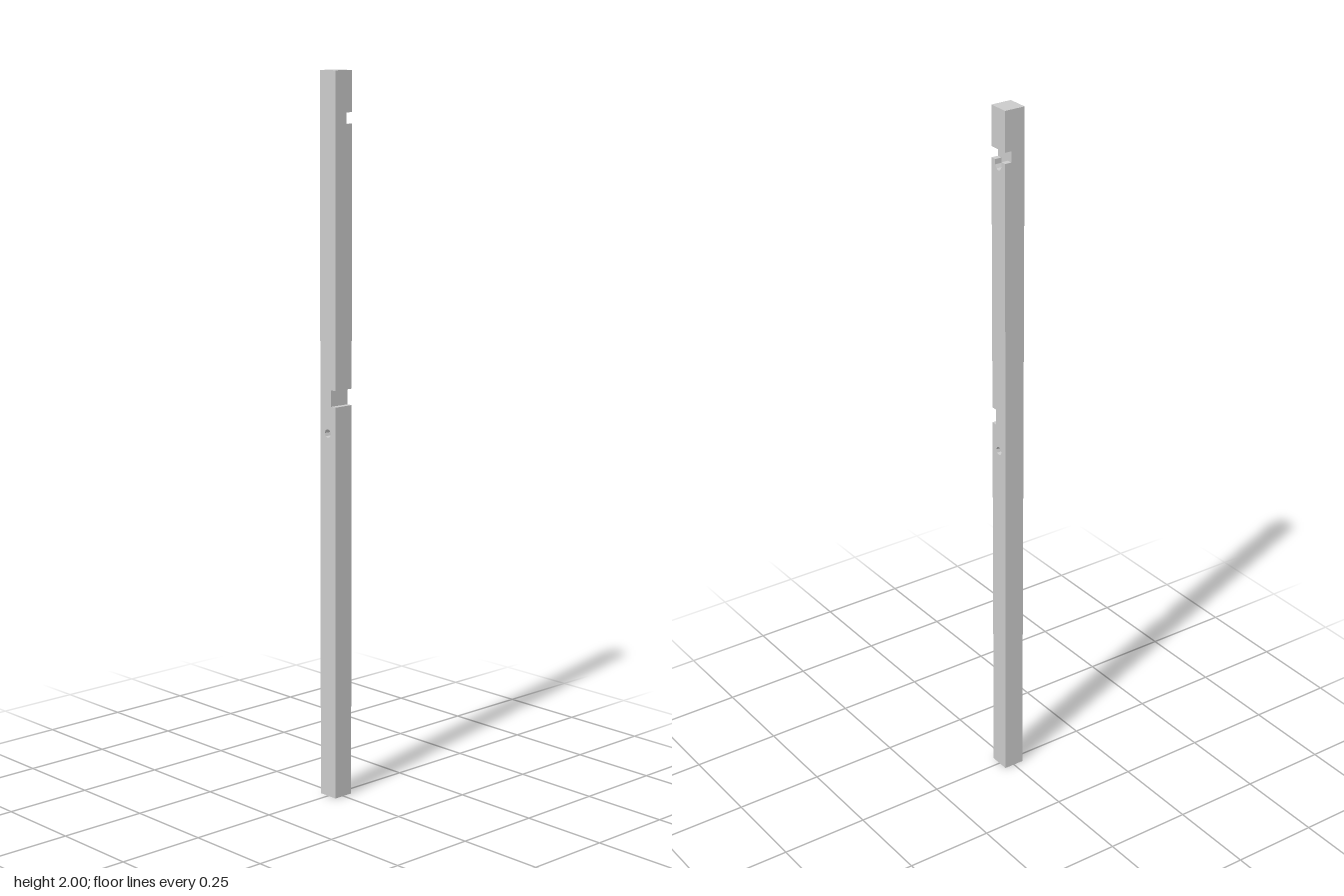
import * as THREE from 'three';

const H = 0.03;                          // half width of the square post
const SPLIT = -0.01;                     // z of the floor of the back notch
const sideNotch = { bottom: 1.105, top: 1.15, x: 0.013 };
const backNotch = { bottom: 1.86, top: 1.89 };
const hole = { y: 1.03, r: 0.012, sides: 8 };

const material = new THREE.MeshStandardMaterial({ color: 0xcccccc, flatShading: true });

// Outline of the post with the side notch and the drilled hole;
// topEdge lists the points along the top, from +x to -x
function postShape(topEdge) {
  const points = [
    [-H, 0], [H, 0],
    [H, sideNotch.bottom], [sideNotch.x, sideNotch.bottom],
    [sideNotch.x, sideNotch.top], [H, sideNotch.top],
    ...topEdge,
  ];
  const shape = new THREE.Shape(points.map(([x, y]) => new THREE.Vector2(x, y)));
  const ring = [];
  for (let i = 0; i < hole.sides; i++) {
    const a = -i / hole.sides * Math.PI * 2;
    ring.push(new THREE.Vector2(hole.r * Math.cos(a), hole.y + hole.r * Math.sin(a)));
  }
  shape.holes.push(new THREE.Path(ring));
  return shape;
}

// Extrudes a shape between two z planes
function layer(name, shape, z0, z1) {
  const geometry = new THREE.ExtrudeGeometry(shape, { depth: z1 - z0, bevelEnabled: false });
  geometry.translate(0, 0, z0);
  const mesh = new THREE.Mesh(geometry, material);
  mesh.name = name;
  return mesh;
}

export function createModel() {
  const group = new THREE.Group();
  group.name = 'notchedPost';

  // Front of the post, running the full height
  group.add(layer('postFront', postShape([[H, 2], [-H, 2]]), SPLIT, H));

  // Back of the post below the back notch, with a rounded dip in its top edge
  const b = backNotch.bottom;
  const dip = [[0.014, b], [0.014, b - 0.014], [0.008, b - 0.023], [0, b - 0.027],
    [-0.008, b - 0.023], [-0.014, b - 0.014], [-0.014, b]];
  group.add(layer('postBack', postShape([[H, b], ...dip, [-H, b]]), -H, SPLIT));

  // Back of the post above the back notch
  const height = 2 - backNotch.top;
  const cap = new THREE.Mesh(new THREE.BoxGeometry(2 * H, height, SPLIT + H), material);
  cap.position.set(0, backNotch.top + height / 2, (SPLIT - H) / 2);
  cap.name = 'postBackTop';
  group.add(cap);

  return group;
}
